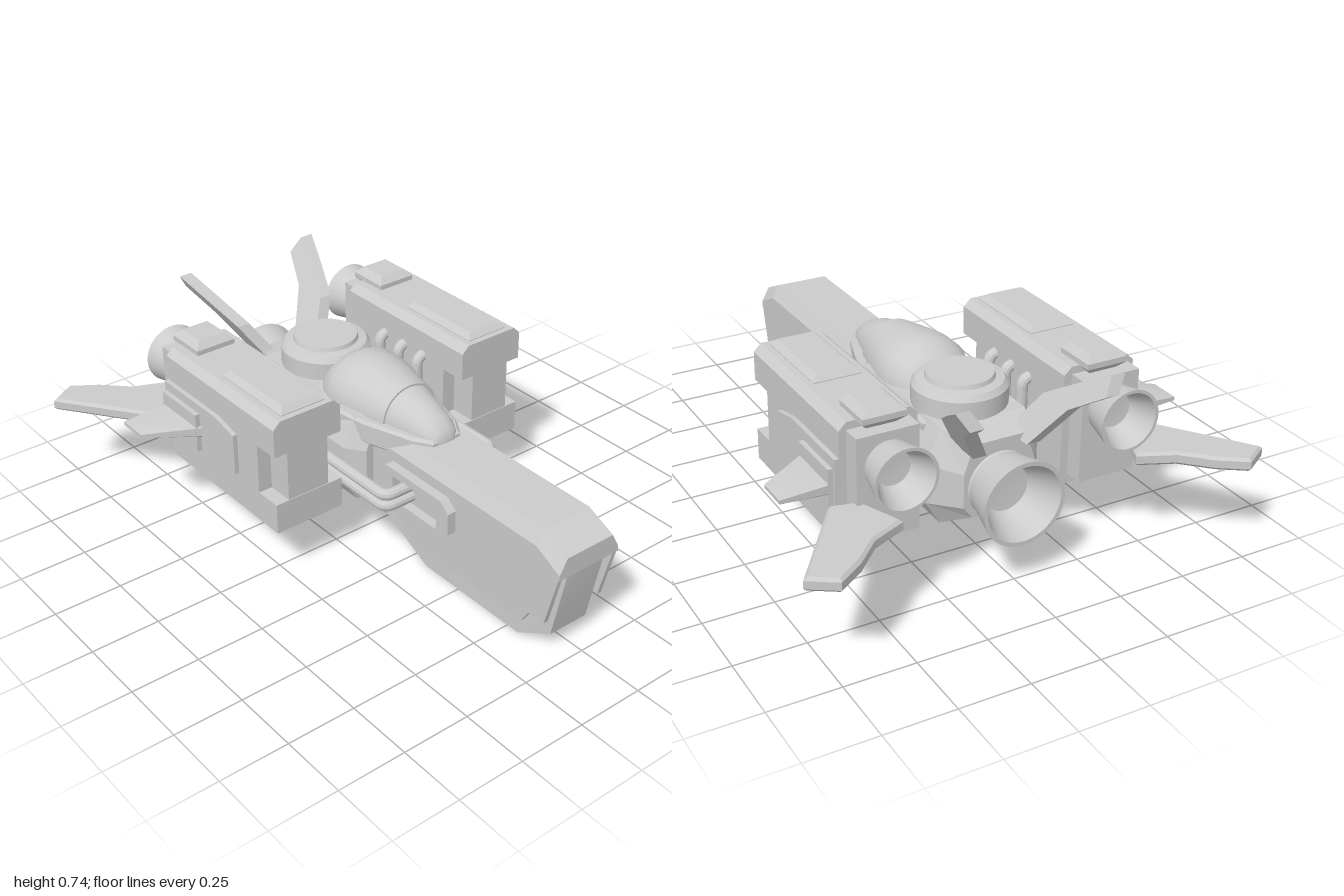
import * as THREE from 'three';
import { toCreasedNormals } from 'three/addons/utils/BufferGeometryUtils.js';

const material = new THREE.MeshStandardMaterial({ color: 0xcccccc });

export function createModel() {
  const model = new THREE.Group();

  const add = (name, geo, crease = 0.5) => {
    const mesh = new THREE.Mesh(toCreasedNormals(geo, crease), material);
    mesh.name = name;
    model.add(mesh);
  };
  // Mirror across x = 0, swapping two corners per face to keep it outward
  const mirrored = (geo) => {
    const g = geo.index ? geo.toNonIndexed() : geo.clone();
    const p = g.attributes.position;
    for (let i = 0; i < p.count; i += 3) {
      const v = [0, 2, 1].map((k) => new THREE.Vector3().fromBufferAttribute(p, i + k));
      v.forEach((q, k) => p.setXYZ(i + k, -q.x, q.y, q.z));
    }
    return g;
  };
  const addPair = (name, geo, crease) => {
    add('left' + name, geo, crease);
    add('right' + name, mirrored(geo), crease);
  };

  const shapeOf = (pts) => new THREE.Shape(pts.map(([a, b]) => new THREE.Vector2(a, b)));
  // Side outline (z, y) extruded between two x positions
  const sideSlab = (pts, x0, x1, hole) => {
    const shape = shapeOf(pts);
    if (hole) shape.holes.push(shapeOf(hole));
    const g = new THREE.ExtrudeGeometry(shape, { depth: x1 - x0, bevelEnabled: false });
    return g.rotateY(-Math.PI / 2).translate(x1, 0, 0);
  };
  // Plan outline (x, z) extruded between two heights, with chamfered edges
  const planSlab = (pts, y0, y1, bevel = 0.01) => {
    const g = new THREE.ExtrudeGeometry(shapeOf(pts.map(([x, z]) => [x, -z])), {
      depth: y1 - y0 - 2 * bevel, bevelSize: bevel, bevelThickness: bevel, bevelOffset: -bevel, bevelSegments: 1,
    });
    return g.rotateX(-Math.PI / 2).translate(0, y0 + bevel, 0);
  };
  const box = (x0, x1, y0, y1, z0, z1) => new THREE.BoxGeometry(x1 - x0, y1 - y0, z1 - z0)
    .translate((x0 + x1) / 2, (y0 + y1) / 2, (z0 + z1) / 2);
  // Skin over cross-sections running front to back, each counter-clockwise from the front
  const loft = (rings) => {
    const n = rings[0].length, index = [], last = (rings.length - 1) * n;
    for (let i = 0; i < rings.length - 1; i++) {
      for (let j = 0; j < n; j++) {
        const a = i * n + j, b = i * n + (j + 1) % n;
        index.push(a, a + n, b, b, a + n, b + n);
      }
    }
    for (let j = 1; j < n - 1; j++) index.push(0, j, j + 1, last, last + j + 1, last + j);
    const g = new THREE.BufferGeometry();
    g.setAttribute('position', new THREE.Float32BufferAttribute(rings.flat(2), 3));
    g.setIndex(index);
    return g.toNonIndexed();
  };
  // Complete a symmetric section from its +x half, listed bottom to top
  const ring = (half, z) => [...half.map(([x, y]) => [x, y, z]),
    ...[...half].reverse().map(([x, y]) => [-x, y, z])];
  // Pipe through the given points with rounded bends
  const tube = (pts, r) => {
    const path = new THREE.CurvePath();
    const v = pts.map((p) => new THREE.Vector3(...p));
    let from = v[0];
    for (let i = 1; i < v.length - 1; i++) {
      const bend = (to) => v[i].clone().add(to.clone().sub(v[i]).setLength(0.035));
      const a = bend(v[i - 1]), b = bend(v[i + 1]);
      path.add(new THREE.LineCurve3(from, a));
      path.add(new THREE.QuadraticBezierCurve3(a, v[i], b));
      from = b;
    }
    path.add(new THREE.LineCurve3(from, v[v.length - 1]));
    return new THREE.TubeGeometry(path, 48, r, 12);
  };
  // Stepped bell with a hollow throat, opening to the rear
  const nozzle = (x, y, z, r, length, steps) => {
    const pts = [[0, 0], [0.72 * r, 0]];
    for (let i = 0; i < steps; i++) {
      const r0 = r * (0.72 + 0.25 * i / steps), t = i / steps;
      pts.push([r0 + 0.03 * r, t * length], [r * (0.75 + 0.25 * (i + 1) / steps), (i + 1) / steps * length]);
    }
    pts.push([0.9 * r, length], [0.55 * r, 0.25 * length], [0, 0.2 * length]);
    return new THREE.LatheGeometry(pts.map((p) => new THREE.Vector2(...p)), 40)
      .rotateX(-Math.PI / 2).translate(x, y, z);
  };

  // Nose: keel core narrowing at the tip, top cap and side armour
  const core = sideSlab([[0.99, 0.4], [0.985, 0.33], [0.93, 0.065], [0.8, 0], [0.33, 0], [0.02, 0.15],
    [-0.1, 0.15], [-0.1, 0.45], [0.88, 0.45]], -0.1, 0.1);
  const cp = core.attributes.position;
  for (let i = 0; i < cp.count; i++) if (cp.getZ(i) > 0.9) cp.setX(i, cp.getX(i) * 0.8);
  add('noseCore', core);
  const cap = (z, y0, y1, y2) => ring([[0.13, y0], [0.13, y1], [0.1, y2]], z);
  add('noseTop', loft([cap(1, 0.345, 0.365, 0.42), cap(0.89, 0.34, 0.42, 0.47), cap(-0.05, 0.34, 0.42, 0.47)]), 0.1);
  addPair('NosePlate', sideSlab([[0.998, 0.355], [0.945, 0.145], [0.875, 0.145], [0.84, 0.09], [0.3, 0.09],
    [0.14, 0.2], [0, 0.23], [0, 0.42], [0.89, 0.42], [0.998, 0.365]], 0.112, 0.13));
  addPair('PipeSocket', sideSlab([[0.51, 0.26], [0.51, 0.345], [0.47, 0.38], [0.18, 0.38], [0.18, 0.225], [0.47, 0.225]],
    0.12, 0.165, [[0.45, 0.255], [0.22, 0.255], [0.22, 0.35], [0.45, 0.35]]));

  // Faceted main hull, tapered at both ends
  const hull = (z, k, lift = 0) => ring([[0.16, 0.145 + lift], [0.215, 0.235], [0.215, 0.38], [0.16, 0.5]]
    .map(([x, y]) => [x * k, 0.32 + (y - 0.32) * (k * 0.4 + 0.6)]), z);
  add('hull', loft([hull(0.07, 0.75, 0.03), hull(0.01, 1), hull(-0.53, 1), hull(-0.64, 0.62, 0.04)]), 0.1);

  // Canopy with frame, and the round hatch behind it
  add('canopyFrame', planSlab([[-0.06, 0.31], [0.06, 0.31], [0.1, 0.25], [0.165, 0.05], [0.18, -0.05], [0.18, -0.45],
    [-0.18, -0.45], [-0.18, -0.05], [-0.165, 0.05], [-0.1, 0.25]], 0.4, 0.49));
  const dome = (rows) => loft(rows.map(([z, w, h]) => {
    const pts = [];
    for (let i = 0; i <= 20; i++) {
      const a = Math.PI * i / 20;
      pts.push([w * Math.cos(a), 0.47 + h * Math.pow(Math.abs(Math.sin(a)), 0.85), z]);
    }
    return pts;
  }));
  add('canopy', dome([[0.315, 0.03, 0.015], [0.3, 0.055, 0.045], [0.26, 0.075, 0.075], [0.2, 0.09, 0.1],
    [0.1, 0.115, 0.127], [0, 0.138, 0.14], [-0.1, 0.152, 0.147]]), 0.7);
  add('canopyHood', dome([[0.11, 0.12, 0.132], [0.0, 0.146, 0.15], [-0.08, 0.163, 0.16], [-0.15, 0.163, 0.16],
    [-0.2, 0.148, 0.14], [-0.24, 0.12, 0.1]]), 0.7);
  add('hatch', new THREE.LatheGeometry([[0, 0.46], [0.165, 0.46], [0.165, 0.565], [0.15, 0.585], [0.12, 0.59],
    [0.115, 0.605], [0, 0.605]].map((p) => new THREE.Vector2(...p)), 48).translate(0, 0, -0.375));

  // Main engine
  add('engineCollar', new THREE.CylinderGeometry(0.115, 0.14, 0.08, 40).rotateX(-Math.PI / 2).translate(0, 0.31, -0.61));
  add('mainNozzle', nozzle(0, 0.31, -0.64, 0.152, 0.16, 4));

  // Side engine pods with notched front corners
  const px = 0.4125;
  const podSection = (y0, z) => [[0.1375, y0], [0.1375, 0.61], [0.11, 0.637], [-0.11, 0.637],
    [-0.1375, 0.61], [-0.1375, y0]].map(([x, y]) => [px + x, y, z]);
  addPair('Pod', loft([podSection(0.2, -0.03), podSection(0.2, -0.585)]), 0.1);
  addPair('PodBrow', loft([podSection(0.505, 0.073), podSection(0.505, -0.03)]), 0.1);
  addPair('PodChin', box(0.275, 0.55, 0.2, 0.315, -0.03, 0.073));
  addPair('PodFace', box(0.33, 0.497, 0.315, 0.505, -0.03, 0.07));
  addPair('PodRear', box(0.305, 0.525, 0.235, 0.61, -0.655, -0.58));
  const rect = (x0, x1, z0, z1) => [[x0, z1], [x1, z1], [x1, z0], [x0, z0]];
  addPair('PodRoofPlate', planSlab(rect(0.325, 0.5, -0.3, 0.05), 0.615, 0.66, 0.02));
  addPair('PodRoofBlock', planSlab(rect(0.335, 0.49, -0.63, -0.47), 0.61, 0.68, 0.025));
  addPair('PodPanel', sideSlab([[-0.15, 0.335], [-0.15, 0.49], [-0.26, 0.515], [-0.585, 0.515], [-0.585, 0.305],
    [-0.26, 0.305]], 0.54, 0.567));
  addPair('PodPanelRaised', sideSlab([[-0.36, 0.33], [-0.36, 0.48], [-0.575, 0.48], [-0.575, 0.33]], 0.56, 0.585));
  addPair('PodNozzle', nozzle(px, 0.495, -0.65, 0.112, 0.125, 3));

  // Wings and fins
  addPair('Wing', planSlab([[0.6, -0.605], [0.84, -0.94], [0.745, -1], [0.65, -0.935], [0.56, -0.845], [0.435, -0.79],
    [0.5, -0.63]], 0.328, 0.376));
  const fin = planSlab([[0.55, -0.34], [0.75, -0.46], [0.75, -0.575], [0.55, -0.575]], 0.388, 0.432, 0.005);
  const fp = fin.attributes.position;
  for (let i = 0; i < fp.count; i++) if (fp.getX(i) > 0.7) fp.setY(i, 0.41 + (fp.getY(i) - 0.41) * 0.4);
  addPair('SmallFin', fin);
  const tail = sideSlab([[-0.55, 0.45], [-0.63, 0.595], [-0.75, 0.67], [-0.87, 0.74], [-0.895, 0.68], [-0.77, 0.595],
    [-0.68, 0.45]], -0.025, 0.025);
  const tp = tail.attributes.position;
  for (let i = 0; i < tp.count; i++) tp.setX(i, tp.getX(i) + 0.1 + (tp.getY(i) - 0.45) * 0.62);
  addPair('TailFin', tail);

  // Struts and pipework between hull and pods
  addPair('Strut', box(0.19, 0.29, 0.25, 0.36, -0.42, -0.1));
  for (const y of [0.288, 0.332]) {
    addPair('FuelPipe', tube([[0.12, y, 0.28], [0.245, y, 0.28], [0.245, y, -0.11]], 0.021));
  }
  for (const z of [-0.37, -0.26, -0.15]) {
    addPair('CoolantPipe', tube([[0.3, 0.515, z], [0.25, 0.515, z], [0.25, 0.36, z], [0.19, 0.36, z]], 0.021));
  }
  return model;
}
